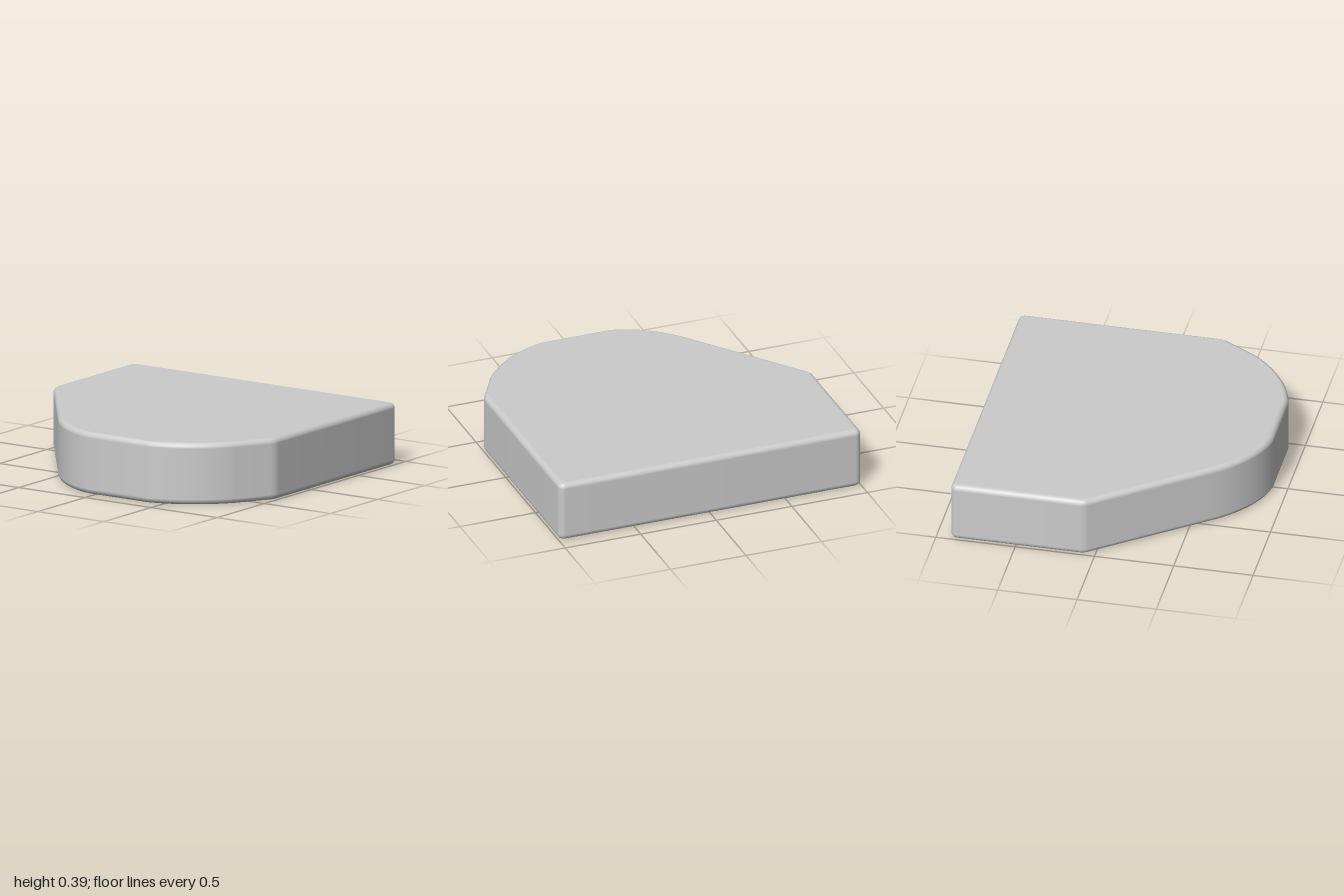
import * as THREE from 'three';
import { toCreasedNormals } from 'three/addons/utils/BufferGeometryUtils.js';

const HEIGHT = 0.39;
const BEVEL = 0.035;

// Plan outline: shape y becomes model z
function outline() {
  const r = 0.04;
  const s = new THREE.Shape();
  s.moveTo(0.91 - r, -1);
  s.absarc(0.91 - r, -1 + r, r, -Math.PI / 2, 0, false);
  s.lineTo(0.91, 1 - r);
  s.absarc(0.91 - r, 1 - r, r, 0, Math.PI / 2, false);
  s.lineTo(-0.35, 1);
  s.quadraticCurveTo(-0.385, 1, -0.42, 0.975);
  s.lineTo(-0.61, 0.865);
  s.bezierCurveTo(-0.75, 0.77, -0.87, 0.6, -0.91, 0.43);
  s.lineTo(-0.915, 0.4);
  s.lineTo(-0.915, -0.04);
  s.bezierCurveTo(-0.89, -0.2, -0.77, -0.37, -0.6, -0.49);
  s.lineTo(0.04, -0.98);
  s.quadraticCurveTo(0.065, -1, 0.1, -1);
  s.closePath();
  return s;
}

export function createModel() {
  const group = new THREE.Group();
  let geo = new THREE.ExtrudeGeometry(outline(), {
    depth: HEIGHT - 2 * BEVEL, curveSegments: 8,
    bevelEnabled: true, bevelSize: BEVEL, bevelOffset: -BEVEL,
    bevelThickness: BEVEL, bevelSegments: 4,
  });
  geo.rotateX(Math.PI / 2).translate(0, HEIGHT - BEVEL, 0);
  geo = toCreasedNormals(geo, 0.6);

  // Keep the flat faces and upright walls evenly shaded where they meet the bevel
  const p = geo.attributes.position, n = geo.attributes.normal;
  const v = new THREE.Vector3();
  for (let i = 0; i < p.count; i++) {
    const y = p.getY(i);
    v.fromBufferAttribute(n, i);
    if (y < 1e-4) v.set(0, -1, 0);
    else if (y > HEIGHT - 1e-4) v.set(0, 1, 0);
    else if (Math.abs(y - BEVEL) < 1e-4 || Math.abs(y - HEIGHT + BEVEL) < 1e-4) v.setY(0).normalize();
    n.setXYZ(i, v.x, v.y, v.z);
  }

  const slab = new THREE.Mesh(geo, new THREE.MeshStandardMaterial({ color: 0xcccccc }));
  slab.name = 'bevelledSlab';
  group.add(slab);
  return group;
}
